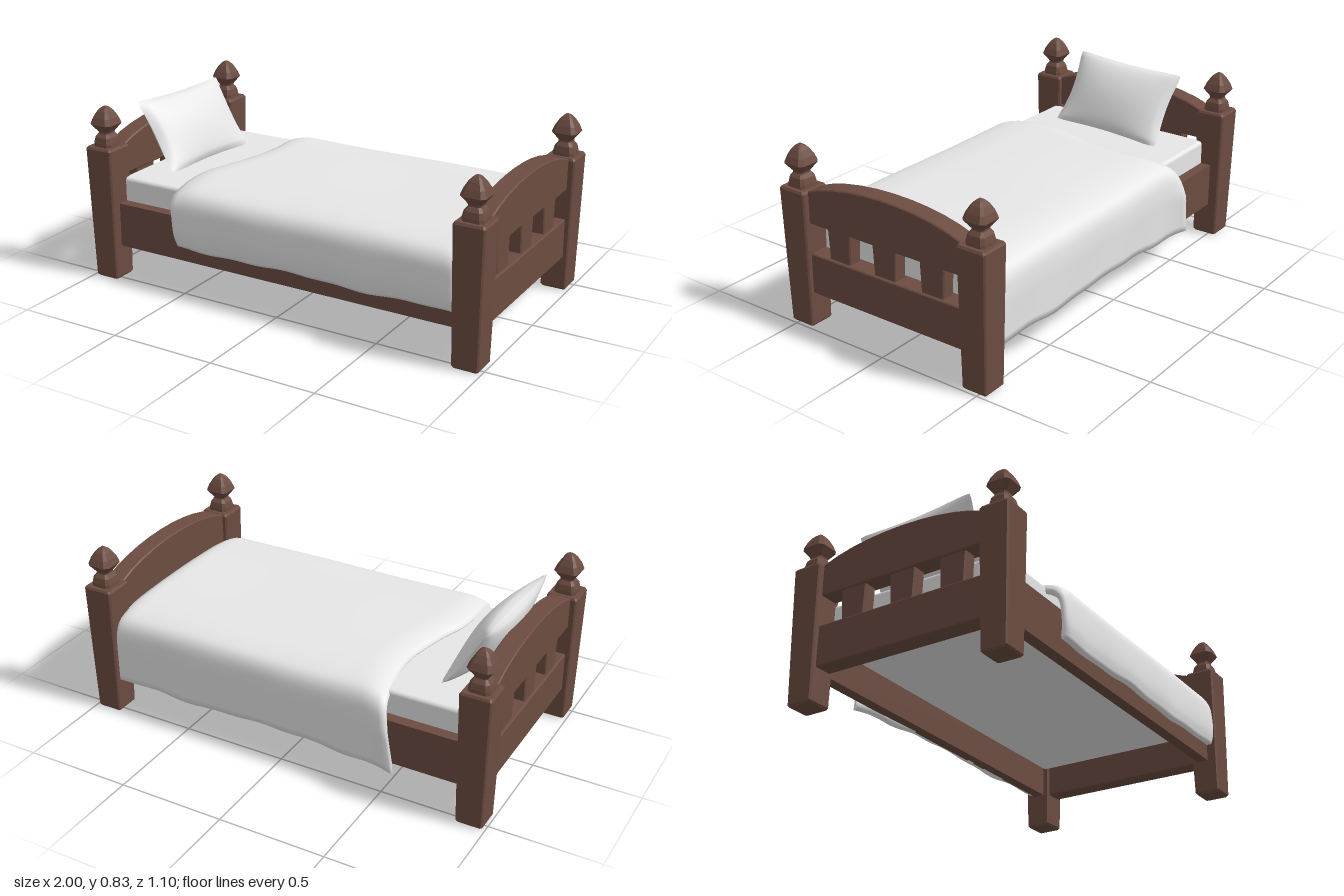
import * as THREE from 'three';
import { RoundedBoxGeometry } from 'three/addons/geometries/RoundedBoxGeometry.js';

// Skin over a list of closed rings, each an array of [x, y, z]
function skin(rings, flat) {
  const n = rings[0].length, index = [];
  for (let i = 0; i < rings.length - 1; i++) {
    for (let j = 0; j < n; j++) {
      const k = (j + 1) % n;
      const a = i * n + j, b = i * n + k, c = a + n, d = b + n;
      index.push(a, c, b, b, c, d);
    }
  }
  let geo = new THREE.BufferGeometry();
  geo.setAttribute('position', new THREE.Float32BufferAttribute(rings.flat(2), 3));
  geo.setIndex(index);
  if (flat) geo = geo.toNonIndexed();
  geo.computeVertexNormals();
  return geo;
}

// Upright turned piece with a chamfered square section; profile is [y, half width]
function squareTurned(profile, chamfer) {
  return skin(profile.map(([y, h]) => {
    const c = h * (1 - chamfer);
    return [[h, -c], [h, c], [c, h], [-c, h], [-h, c], [-h, -c], [-c, -h], [c, -h]].map(([x, z]) => [x, y, z]);
  }), true);
}

// Outline in the z-y plane given thickness along x, centred on x = 0
function panel(shape, thickness) {
  const b = 0.005;
  const geo = new THREE.ExtrudeGeometry(shape, {
    depth: thickness - 2 * b, bevelEnabled: true, bevelThickness: b, bevelSize: b, bevelOffset: -b,
    bevelSegments: 1, curveSegments: 10,
  });
  return geo.translate(0, 0, b - thickness / 2).rotateY(Math.PI / 2);
}

function polygon(points) {
  return new THREE.Shape(points.map(([x, y]) => new THREE.Vector2(x, y)));
}

function blanketGeometry() {
  // Cross-section from front hem over the top to back hem: [z, y, x of the head edge]
  const section = [
    [0.517, 0.235, -0.515], [0.53, 0.29, -0.525], [0.53, 0.39, -0.535], [0.52, 0.45, -0.545],
    [0.495, 0.485, -0.548], [0.45, 0.506, -0.55], [0.33, 0.524, -0.558], [0.2, 0.529, -0.55],
    [0.08, 0.531, -0.515], [-0.05, 0.531, -0.485], [-0.2, 0.529, -0.465], [-0.35, 0.522, -0.478],
    [-0.44, 0.506, -0.495], [-0.485, 0.485, -0.505], [-0.508, 0.45, -0.515], [-0.518, 0.38, -0.53],
    [-0.517, 0.28, -0.545], [-0.515, 0.163, -0.562],
  ];
  const path = new THREE.CatmullRomCurve3(section.map(p => new THREE.Vector3(p[2], p[1], p[0])));
  const points = path.getPoints(68);
  const steps = 50, rings = [];
  for (let i = -1; i <= steps + 1; i++) {
    const t = THREE.MathUtils.clamp(i / steps, 0, 1);
    const tipped = i < 0 || i > steps;
    const outer = [], inner = [];
    for (const p of points) {
      const x = THREE.MathUtils.lerp(p.x, 0.868, t);
      const low = THREE.MathUtils.clamp((0.5 - p.y) / 0.3, 0, 1);
      const headFlare = Math.max(0, 1 - t / 0.13) ** 2;
      // Gentle folds, and a loose back corner at the head
      let y = p.y + low * (0.006 * Math.sin(9 * x + 1) + 0.003 * Math.sin(23 * x + p.z));
      y += (1 - low) * 0.002 * Math.sin(7 * x + 2) * Math.cos(6 * p.z);
      // The top settles onto the mattress at both ends
      y -= (1 - low) * (0.024 * Math.max(0, 1 - t / 0.08) ** 2 + 0.016 * Math.max(0, 1 - (1 - t) / 0.04) ** 2);
      let z = p.z + Math.sign(p.z) * low * 0.003 * Math.sin(14 * x + 6 * p.y);
      if (p.z < 0) {
        z -= headFlare * 0.03 * Math.min(1, low * 2);
        y -= low * 0.022 * Math.max(0, 1 - t / 0.3);
      }
      const drop = 0.035 * THREE.MathUtils.clamp((p.y - 0.4) / 0.1, 0, 1);
      if (tipped) {
        const mid = [x + (i < 0 ? -0.006 : 0.008), y - drop / 2, z * 0.972];
        outer.push(mid);
        inner.unshift(mid);
      } else {
        outer.push([x, y, z]);
        inner.unshift([x, y - drop, z * 0.945]);
      }
    }
    rings.push([...outer, ...inner]);
  }
  return skin(rings, false);
}

// One face of the pillow, bulging to +z or -z, with drawn-in edges and a lip along the bottom
function pillowFace(side) {
  const geo = new THREE.PlaneGeometry(2, 2, 28, 24);
  const pos = geo.attributes.position;
  for (let i = 0; i < pos.count; i++) {
    const u = pos.getX(i), v = pos.getY(i);
    const fill = Math.max(0, (1 - u * u) * (1 - v * v));
    const corner = 1 - 0.04 * Math.pow(u * v, 8);
    pos.setXYZ(i,
      side * u * corner * (0.305 - 0.025 * (1 - v * v)),
      v * corner * (0.19 - 0.014 * (1 - u * u)),
      side * 0.072 * Math.pow(fill, 0.55) + 0.022 * Math.max(0, -v) ** 3);
  }
  geo.computeVertexNormals();
  return geo;
}

export function createModel() {
  const wood = new THREE.MeshStandardMaterial({ color: 0x6c4c41 });
  wood.name = 'brown wood';
  const linen = new THREE.MeshStandardMaterial({ color: 0xe8e8e8 });
  linen.name = 'pale linen';

  const model = new THREE.Group();
  model.name = 'bed';
  const add = (name, geo, mat, x = 0, y = 0, z = 0, parent = model) => {
    const mesh = new THREE.Mesh(geo, mat);
    mesh.name = name;
    mesh.position.set(x, y, z);
    parent.add(mesh);
  };

  // Corner posts with finials
  const postGeo = squareTurned([[0, 0], [0, 0.054], [0.009, 0.061], [0.30, 0.066], [0.63, 0.071], [0.64, 0.065], [0.64, 0]], 0.1);
  const finialGeo = squareTurned([
    [0.635, 0.049], [0.655, 0.048], [0.682, 0.042], [0.7, 0.029], [0.708, 0.03], [0.745, 0.057],
    [0.775, 0.046], [0.803, 0.03], [0.818, 0.017], [0.825, 0.007], [0.826, 0],
  ], 0.3);
  for (const x of [-0.927, 0.927]) {
    for (const z of [-0.477, 0.477]) {
      add('post', postGeo, wood, x, 0, z);
      add('finial', finialGeo, wood, x, 0, z);
    }
  }

  // Headboard and footboard: arched rail, lower rail and three tapered slats
  const arch = polygon([[-0.43, 0.49], [0.43, 0.49], [0.43, 0.63]]);
  arch.lineTo(0.41, 0.638);
  arch.bezierCurveTo(0.2, 0.728, -0.2, 0.728, -0.41, 0.638);
  arch.lineTo(-0.43, 0.63);
  const archGeo = panel(arch, 0.09);
  const lowerGeo = panel(polygon([[-0.43, 0.16], [0.43, 0.16], [0.43, 0.35], [-0.43, 0.35]]), 0.09);
  const slatGeo = panel(polygon([[-0.057, 0.34], [0.057, 0.34], [0.065, 0.5], [-0.065, 0.5]]), 0.065);
  for (const [name, x] of [['headboard', -0.923], ['footboard', 0.923]]) {
    const board = new THREE.Group();
    board.name = name;
    board.position.x = x;
    model.add(board);
    add('archedRail', archGeo, wood, 0, 0, 0, board);
    add('lowerRail', lowerGeo, wood, 0, 0, 0, board);
    for (const z of [-0.247, 0.006, 0.256]) add('slat', slatGeo, wood, 0, 0, z, board);
  }

  // Side rails
  for (const z of [-0.467, 0.467]) {
    add('sideRail', new THREE.BoxGeometry(1.76, 0.21, 0.054), wood, 0, 0.265, z);
  }

  // Mattress, blanket and pillow
  add('mattress', new RoundedBoxGeometry(1.756, 0.183, 0.885, 3, 0.018), linen, 0, 0.3915, 0);
  add('blanket', blanketGeometry(), linen);

  const pillow = new THREE.Group();
  pillow.name = 'pillow';
  pillow.position.set(-0.787, 0.635, 0);
  pillow.rotation.set(-0.53, Math.PI / 2 - 0.03, -0.025, 'YXZ');
  model.add(pillow);
  add('pillowFront', pillowFace(1), linen, 0, 0, 0, pillow);
  add('pillowBack', pillowFace(-1), linen, 0, 0, 0, pillow);
  return model;
}
